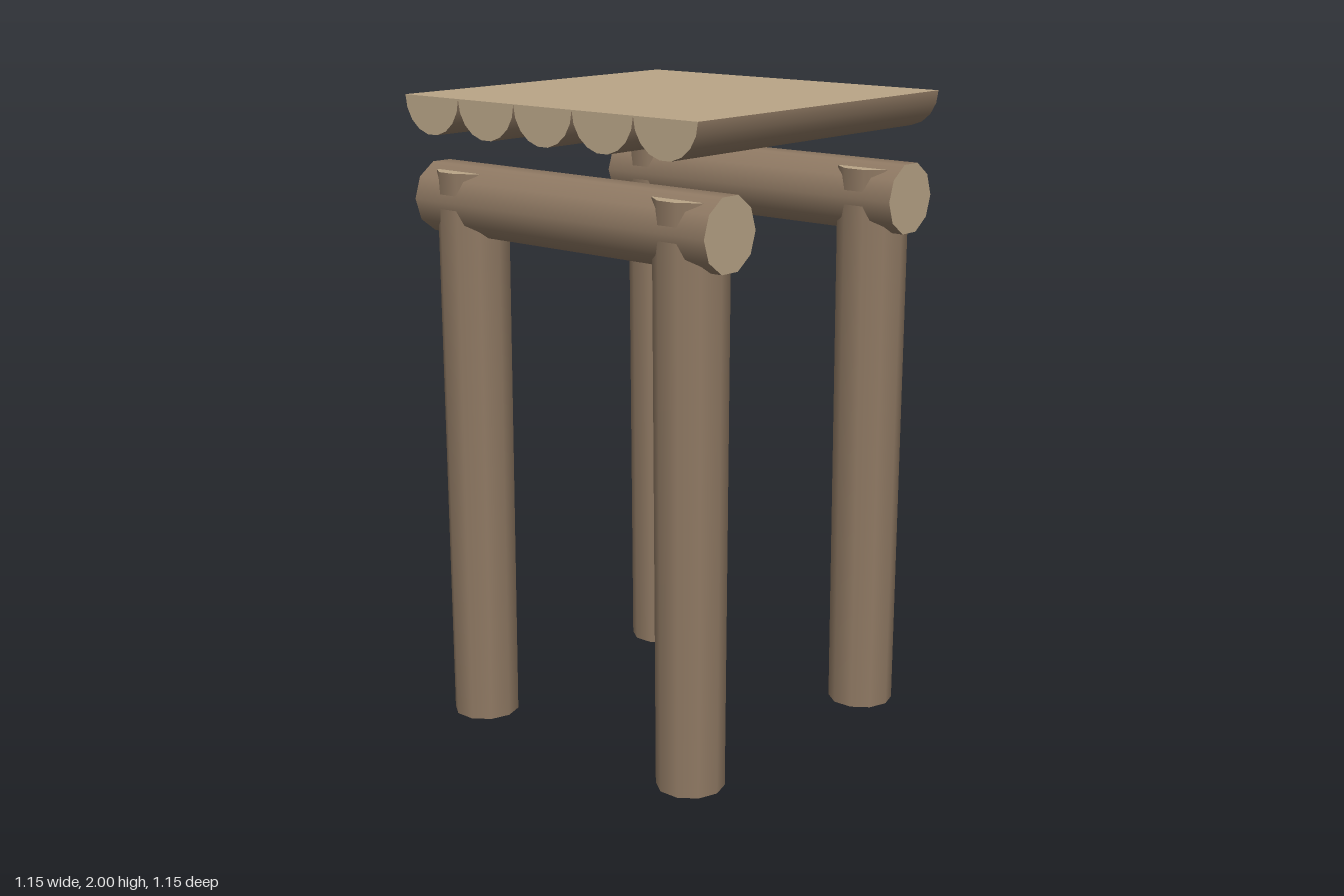
import * as THREE from 'three';

export function createModel() {
  const model = new THREE.Group();
  const bark = new THREE.MeshStandardMaterial({ color: 0x8f7963 });
  const cut = new THREE.MeshStandardMaterial({ color: 0xb9a587 });
  const span = 1.153;      // length of beams and half logs
  const legOffset = 0.438; // leg distance from the centre, in x and z

  const add = (parent, name, geometry, material, x, y, z) => {
    const mesh = new THREE.Mesh(geometry, material);
    mesh.name = name;
    mesh.position.set(x, y, z);
    parent.add(mesh);
  };
  // Cylinder groups: bark around the side, sawn wood on both ends
  const log = [bark, cut, cut];

  // Legs taper slightly toward the ground
  const legHeight = 1.77;
  const legGeometry = new THREE.CylinderGeometry(0.111, 0.104, legHeight, 10);
  // Beams run front to back, with a flat side facing up
  const beamGeometry = new THREE.CylinderGeometry(0.1125, 0.1125, span, 10)
    .rotateY(Math.PI / 2).rotateX(Math.PI / 2);
  for (const [side, sx] of [['left', 1], ['right', -1]]) {
    for (const [end, sz] of [['Front', 1], ['Back', -1]]) {
      add(model, `${side}${end}Leg`, legGeometry, log, sx * legOffset, legHeight / 2, sz * legOffset);
    }
    add(model, `${side}Beam`, beamGeometry, log, sx * legOffset, 1.68, 0);
  }

  // Top of split logs, flat side up
  const top = new THREE.Group();
  top.name = 'splitLogTop';
  model.add(top);
  const count = 5;
  const pitch = span / count;
  const halfLog = new THREE.CylinderGeometry(pitch / 2, pitch / 2, span, 9, 1, false, 0, Math.PI)
    .rotateZ(-Math.PI / 2);
  const flatFace = new THREE.PlaneGeometry(span, pitch).rotateX(-Math.PI / 2);
  for (let i = 0; i < count; i++) {
    const z = (i - (count - 1) / 2) * pitch;
    add(top, `halfLog${i + 1}`, halfLog, log, 0, 2, z);
    add(top, `sawnFace${i + 1}`, flatFace, cut, 0, 2, z);
  }
  return model;
}
